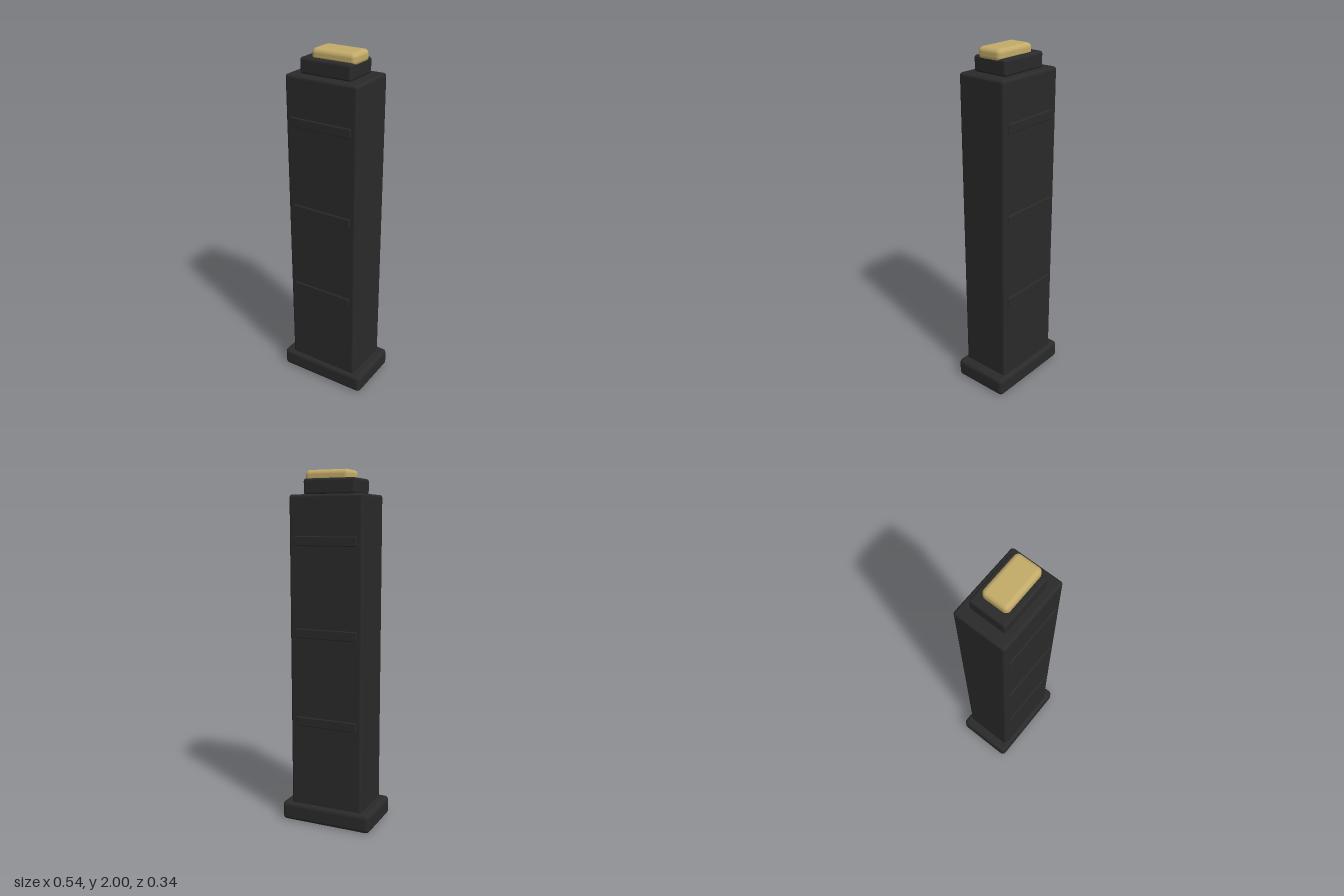
import * as THREE from 'three';
import { RoundedBoxGeometry } from 'three/addons/geometries/RoundedBoxGeometry.js';

export function createModel() {
  const group = new THREE.Group();
  const black = new THREE.MeshStandardMaterial({ name: 'black polymer', color: 0x2a2a2a });
  const brass = new THREE.MeshStandardMaterial({ name: 'brass', color: 0xc2aa68 });

  // Rounded block given by its extents; every block is centred on z = 0 unless moved
  function block(name, material, x0, x1, y0, y1, depth, radius, z = 0) {
    const geometry = new RoundedBoxGeometry(x1 - x0, y1 - y0, depth, 4, radius);
    const mesh = new THREE.Mesh(geometry, material);
    mesh.name = name;
    mesh.position.set((x0 + x1) / 2, (y0 + y1) / 2, z);
    group.add(mesh);
  }

  // Main stack
  block('basePlate', black, -0.272, 0.272, 0, 0.11, 0.344, 0.025);
  block('body', black, -0.217, 0.217, 0.06, 1.868, 0.3, 0.016);
  block('feedLips', black, -0.153, 0.152, 1.866, 1.953, 0.21, 0.014);
  block('topRound', brass, -0.104, 0.157, 1.934, 2, 0.15, 0.025);

  // Raised ribs on the front and back faces
  for (const y of [0.605, 1.112, 1.619]) {
    for (const side of [1, -1]) {
      block(side > 0 ? 'frontRib' : 'backRib', black, -0.186, 0.184, y - 0.027, y + 0.027, 0.022, 0.006, side * 0.146);
    }
  }
  return group;
}
